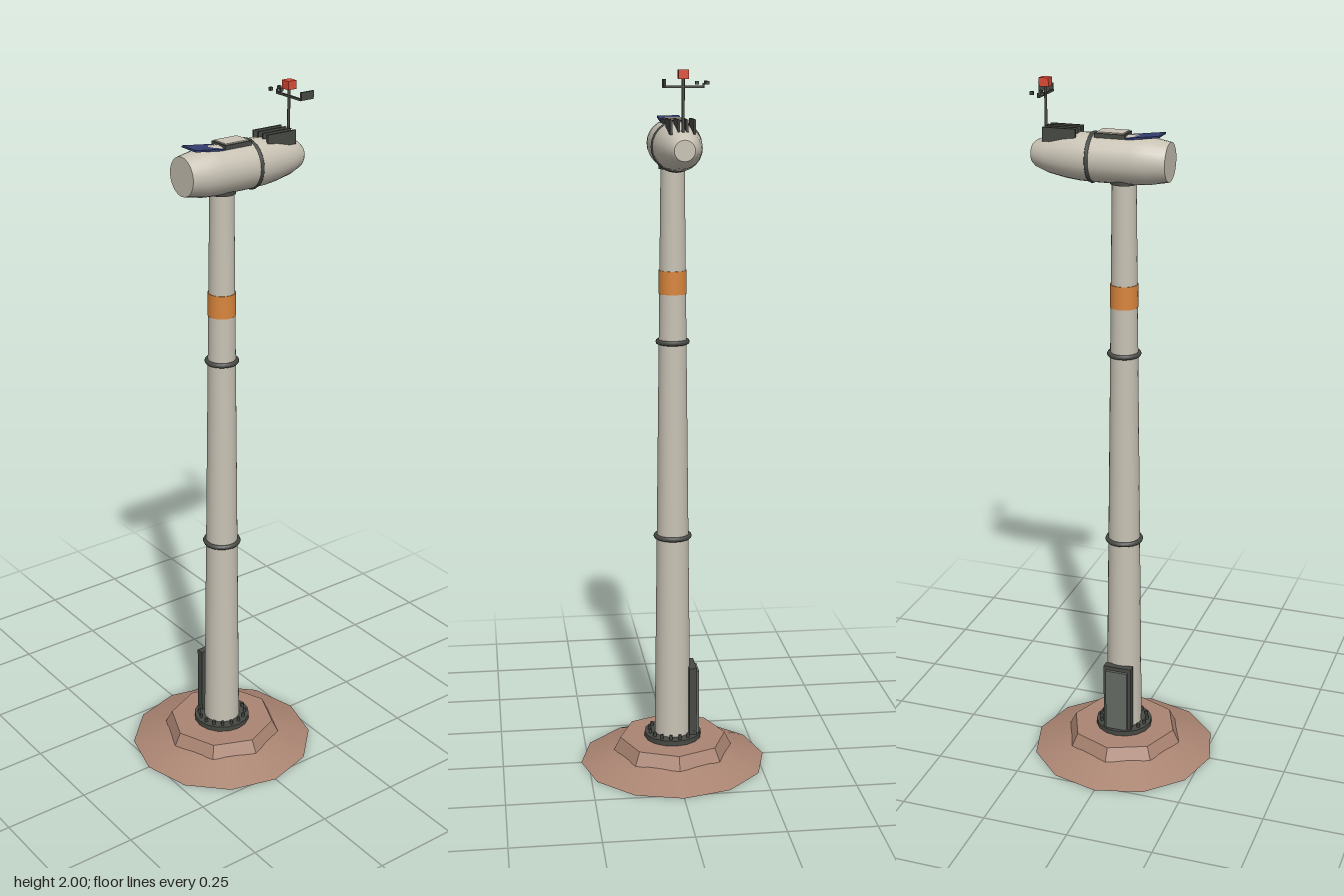
import * as THREE from 'three';

const mat = (name, color, flat = false) => {
  const m = new THREE.MeshStandardMaterial({ color, flatShading: flat });
  m.name = name;
  return m;
};

export function createModel() {
  const model = new THREE.Group();
  model.name = 'windTower';

  const shell = mat('paleShell', 0xc8c2b4);
  const earth = mat('brownEarth', 0xaa8472);
  const dark = mat('darkMetal', 0x474944);
  const doorGrey = mat('doorGrey', 0x666a63);
  const orange = mat('orangeBand', 0xd9853c);
  const blue = mat('solarBlue', 0x343d70);
  const red = mat('beaconRed', 0xdc4a35);

  const add = (name, geometry, material, x = 0, y = 0, z = 0, parent = model) => {
    const mesh = new THREE.Mesh(geometry, material);
    mesh.name = name;
    mesh.position.set(x, y, z);
    parent.add(mesh);
    return mesh;
  };
  const group = (name, x = 0, y = 0, z = 0) => {
    const g = new THREE.Group();
    g.name = name;
    g.position.set(x, y, z);
    model.add(g);
    return g;
  };
  const box = (w, h, d) => new THREE.BoxGeometry(w, h, d);
  // Upright frustum between two heights
  const frustum = (name, rBottom, rTop, y0, y1, sides, material) =>
    add(name, new THREE.CylinderGeometry(rTop, rBottom, y1 - y0, sides), material, 0, (y0 + y1) / 2, 0);

  // Ground mound and octagonal plinth
  frustum('mound', 0.271, 0.165, 0, 0.038, 12, earth);
  const plinth = frustum('plinth', 0.174, 0.155, 0.036, 0.074, 8, earth);
  plinth.geometry = plinth.geometry.toNonIndexed();
  plinth.geometry.computeVertexNormals();

  // Bolted base flange
  frustum('baseFlange', 0.083, 0.083, 0.074, 0.089, 16, dark);
  const bolts = group('flangeBolts');
  for (let i = 0; i < 16; i++) {
    const a = ((i + 0.5) / 16) * Math.PI * 2;
    add('bolt', new THREE.CylinderGeometry(0.005, 0.005, 0.014, 6), dark,
      0.069 * Math.cos(a), 0.094, 0.069 * Math.sin(a), bolts);
  }

  // Tapered tower with joint rings and a warning band
  const yBase = 0.085, yTop = 1.76;
  const towerRadius = y => 0.053 + (0.033 - 0.053) * (y - yBase) / (yTop - yBase);
  frustum('tower', towerRadius(yBase), towerRadius(yTop), yBase, yTop, 24, shell);
  for (const y of [0.69, 1.255]) {
    const ring = add('jointRing', new THREE.TorusGeometry(towerRadius(y) + 0.002, 0.007, 8, 24), dark, 0, y, 0);
    ring.rotation.x = Math.PI / 2;
  }
  frustum('warningBand', towerRadius(1.39) + 0.002, towerRadius(1.455) + 0.002, 1.39, 1.455, 24, orange);
  frustum('yawBearing', 0.038, 0.038, 1.732, 1.75, 24, dark);

  // Access door on the right side of the tower
  add('doorFrame', box(0.022, 0.212, 0.084), dark, -0.055, 0.189, 0);
  add('door', box(0.008, 0.192, 0.066), doorGrey, -0.07, 0.187, 0);

  // Nacelle, turned around the z axis, with flat end caps
  const axisY = 1.797;
  const nacelle = group('nacelle', 0, axisY, 0);
  const profile = [[0.0275, -0.256], [0.037, -0.245], [0.05, -0.21], [0.06, -0.16], [0.0645, -0.12],
    [0.066, -0.08], [0.066, 0.035], [0.063, 0.075], [0.053, 0.128]];
  const hull = add('nacelleHull',
    new THREE.LatheGeometry(profile.map(([r, z]) => new THREE.Vector2(r, z)), 24), shell, 0, 0, 0, nacelle);
  hull.rotation.x = Math.PI / 2;
  add('frontCap', new THREE.CircleGeometry(0.053, 24), shell, 0, 0, 0.128, nacelle);
  add('rearCap', new THREE.CircleGeometry(0.0275, 24), shell, 0, 0, -0.256, nacelle).rotation.y = Math.PI;
  add('nacelleRing', new THREE.TorusGeometry(0.063, 0.0065, 8, 24), dark, 0, 0, -0.085, nacelle);

  // Roof hatch, solar panel and cooling fins
  add('hatchFrame', box(0.062, 0.02, 0.084), dark, 0, 1.857, -0.031);
  add('hatchLid', box(0.052, 0.004, 0.074), shell, 0, 1.868, -0.031);
  add('solarPanel', box(0.062, 0.005, 0.097), blue, 0, 1.8615, 0.057).rotation.x = -0.12;
  for (const x of [-0.031, -0.0105, 0.0105, 0.031])
    add('coolingFin', box(0.006, 0.038, 0.094), dark, x, 1.855, -0.172);

  // Instrument mast with beacon
  const mastZ = -0.22;
  add('mast', new THREE.CylinderGeometry(0.004, 0.004, 0.15, 8), dark, 0, 1.908, mastZ);
  add('beacon', box(0.027, 0.023, 0.027), red, 0, 1.9885, mastZ);
  add('crossArm', box(0.106, 0.006, 0.006), dark, 0, 1.957, mastZ);

  // Wind vane on one end, cup sensor on the other
  add('windVane', box(0.005, 0.022, 0.042), dark, 0.052, 1.966, -0.239);
  add('sensorPost', new THREE.CylinderGeometry(0.003, 0.003, 0.012, 6), dark, -0.052, 1.96, mastZ);
  for (let i = 0; i < 3; i++) {
    const a = (i / 3) * Math.PI * 2;
    add('sensorCup', box(0.009, 0.009, 0.009), dark,
      -0.052 + 0.017 * Math.cos(a), 1.967, mastZ + 0.017 * Math.sin(a));
  }

  return model;
}
